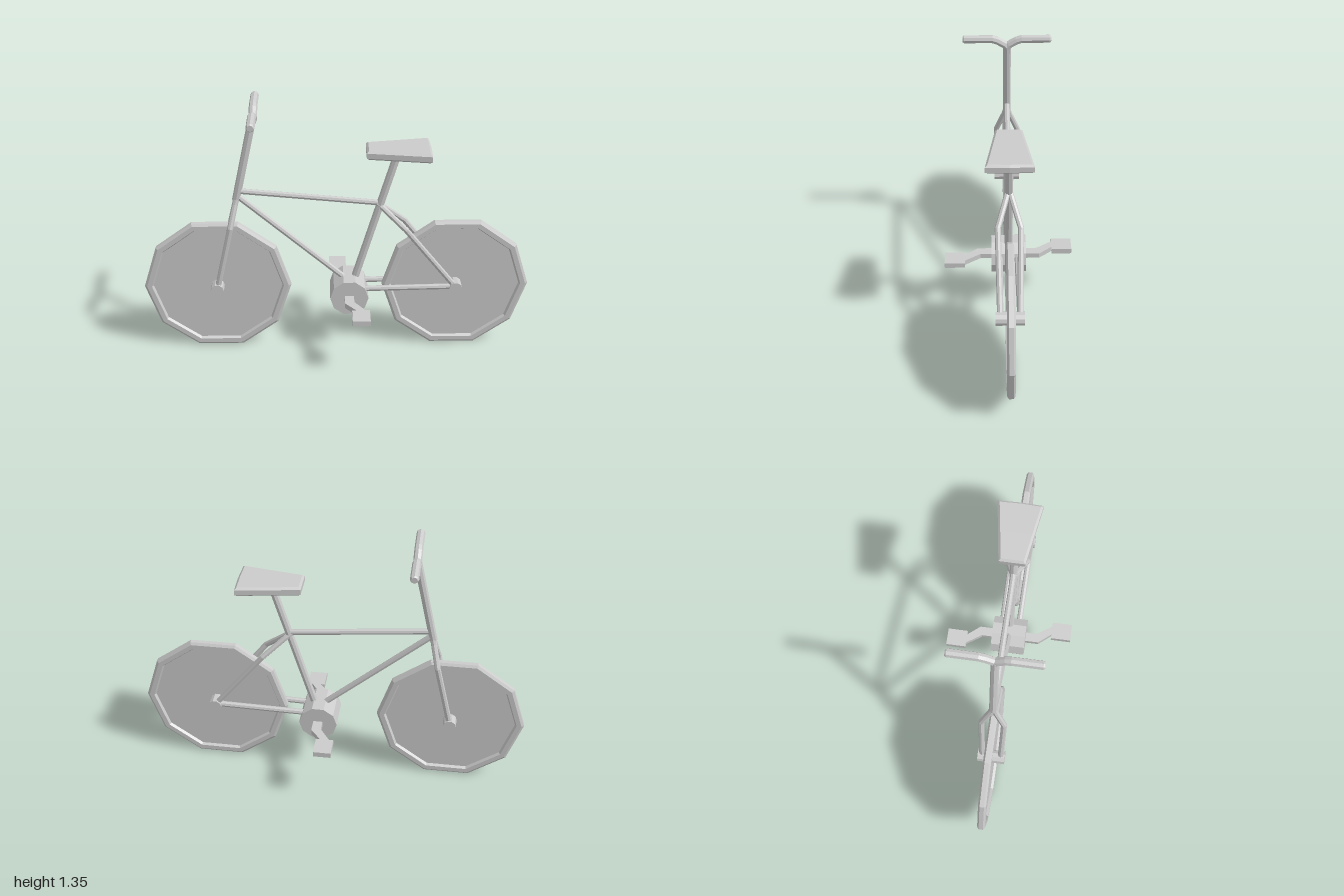
import * as THREE from 'three';

const grey = new THREE.MeshStandardMaterial({ color: 0xcccccc, flatShading: true });
const WHEEL_X = 0.617, AXLE_Y = 0.365;

function add(parent, name, geometry, x = 0, y = 0, z = 0) {
  const mesh = new THREE.Mesh(geometry, grey);
  mesh.name = name;
  mesh.position.set(x, y, z);
  parent.add(mesh);
  return mesh;
}

// Polyline with mitred corners, one tube ring per point
class BentPath extends THREE.Curve {
  constructor(points) {
    super();
    this.points = points.map(p => new THREE.Vector3(...p));
  }
  getPointAt(u) {
    const s = u * (this.points.length - 1);
    const i = Math.min(Math.floor(s + 1e-6), this.points.length - 2);
    return this.points[i].clone().lerp(this.points[i + 1], s - i);
  }
  getPoint(u) { return this.getPointAt(u); }
  getTangentAt(u) {
    const p = this.points, n = p.length - 1, i = Math.round(u * n), t = new THREE.Vector3();
    if (i > 0) t.add(p[i].clone().sub(p[i - 1]).normalize());
    if (i < n) t.add(p[i + 1].clone().sub(p[i]).normalize());
    return t.normalize();
  }
}

const tube = (radius, ...points) =>
  new THREE.TubeGeometry(new BentPath(points), points.length - 1, radius, 8);

// Turn a y-axis solid to the z axis, with corners on the x axis
const toAxle = geometry => geometry.rotateX(Math.PI / 2).rotateZ(Math.PI / 2);

// Flat slab drawn in plan (x, z)
function slab(points, depth, options = { bevelEnabled: false }) {
  const shape = new THREE.Shape(points.map(p => new THREE.Vector2(...p)));
  const geometry = new THREE.ExtrudeGeometry(shape, { depth, ...options });
  return geometry.translate(0, 0, -depth / 2).rotateX(Math.PI / 2);
}

function makeWheel(name, x) {
  const wheel = new THREE.Group();
  wheel.name = name;
  wheel.position.set(x, AXLE_Y, 0);
  // Tyre and recessed disc share one profile
  const half = [[0, 0.006], [0.335, 0.006], [0.343, 0.02], [0.368, 0.02], [0.381, 0.011]];
  const profile = [
    ...half.map(([r, w]) => new THREE.Vector2(r, -w)),
    ...half.map(([r, w]) => new THREE.Vector2(r, w)).reverse(),
  ];
  add(wheel, 'tyreAndDisc', toAxle(new THREE.LatheGeometry(profile, 10)));
  add(wheel, 'hub', toAxle(new THREE.CylinderGeometry(0.034, 0.034, 0.14, 10)));
  return wheel;
}

export function createModel() {
  const bike = new THREE.Group();
  bike.name = 'bicycle';

  bike.add(makeWheel('frontWheel', -WHEEL_X), makeWheel('rearWheel', WHEEL_X));

  // Frame
  const frame = new THREE.Group();
  frame.name = 'frame';
  bike.add(frame);
  add(frame, 'topTube', tube(0.015, [-0.495, 0.905, 0], [0.22, 0.833, 0]));
  add(frame, 'downTube', tube(0.016, [-0.5, 0.882, 0], [0.07, 0.375, 0]));
  add(frame, 'seatTube', tube(0.02, [0.08, 0.35, 0], [0.303, 1.11, 0]));
  add(frame, 'steeringTube', tube(0.02, [-0.503, 0.855, 0], [-0.404, 1.3, 0]));
  for (const s of [1, -1]) {
    add(frame, 'forkBlade', tube(0.015,
      [-0.497, 0.88, 0], [-0.508, 0.835, s * 0.012], [-0.535, 0.72, s * 0.056], [-WHEEL_X, AXLE_Y, s * 0.048]));
    add(frame, 'seatStay', tube(0.015,
      [0.205, 0.83, 0], [0.235, 0.807, s * 0.012], [0.35, 0.705, s * 0.056], [WHEEL_X, AXLE_Y, s * 0.048]));
    add(frame, 'chainStay', tube(0.015, [0.09, 0.357, s * 0.045], [WHEEL_X, AXLE_Y + 0.004, s * 0.048]));
  }

  // Handlebar rising from the stem to both sides
  const handlebar = new THREE.Group();
  handlebar.name = 'handlebar';
  handlebar.position.set(-0.403, 1.33, 0);
  bike.add(handlebar);
  for (const s of [1, -1]) {
    add(handlebar, 'bar', tube(0.021,
      [0, -0.045, 0], [0, -0.03, s * 0.012], [0, -0.008, s * 0.05], [0, 0, s * 0.075], [0, 0, s * 0.215]));
    const end = add(handlebar, 'barEnd', new THREE.CylinderGeometry(0.016, 0.021, 0.008, 8), 0, 0, s * 0.219);
    end.rotation.x = s * Math.PI / 2;
  }

  // Saddle, narrow towards the front
  add(bike, 'saddle', slab(
    [[0.157, -0.055], [0.3, -0.077], [0.452, -0.101], [0.455, 0], [0.452, 0.101], [0.3, 0.077], [0.157, 0.055]],
    0.027, { bevelThickness: 0.01, bevelSize: 0.011, bevelSegments: 1 }), 0, 1.117, 0);

  // Crank housing with an arm and pedal on each side
  const crank = new THREE.Group();
  crank.name = 'crankset';
  crank.position.set(0.065, 0.325, 0);
  bike.add(crank);
  add(crank, 'crankHousing', toAxle(new THREE.CylinderGeometry(0.099, 0.099, 0.178, 10)));
  for (const turn of [0, Math.PI]) {
    const side = new THREE.Group();
    side.name = turn ? 'rightCrank' : 'leftCrank';
    side.rotation.y = turn;
    crank.add(side);
    add(side, 'crankArm', slab(
      [[-0.024, 0.08], [0.024, 0.08], [0.024, 0.147], [0.08, 0.23], [0.034, 0.23], [-0.024, 0.16]], 0.028));
    add(side, 'pedal', new THREE.BoxGeometry(0.09, 0.028, 0.104), 0.055, 0, 0.278);
  }

  return bike;
}
